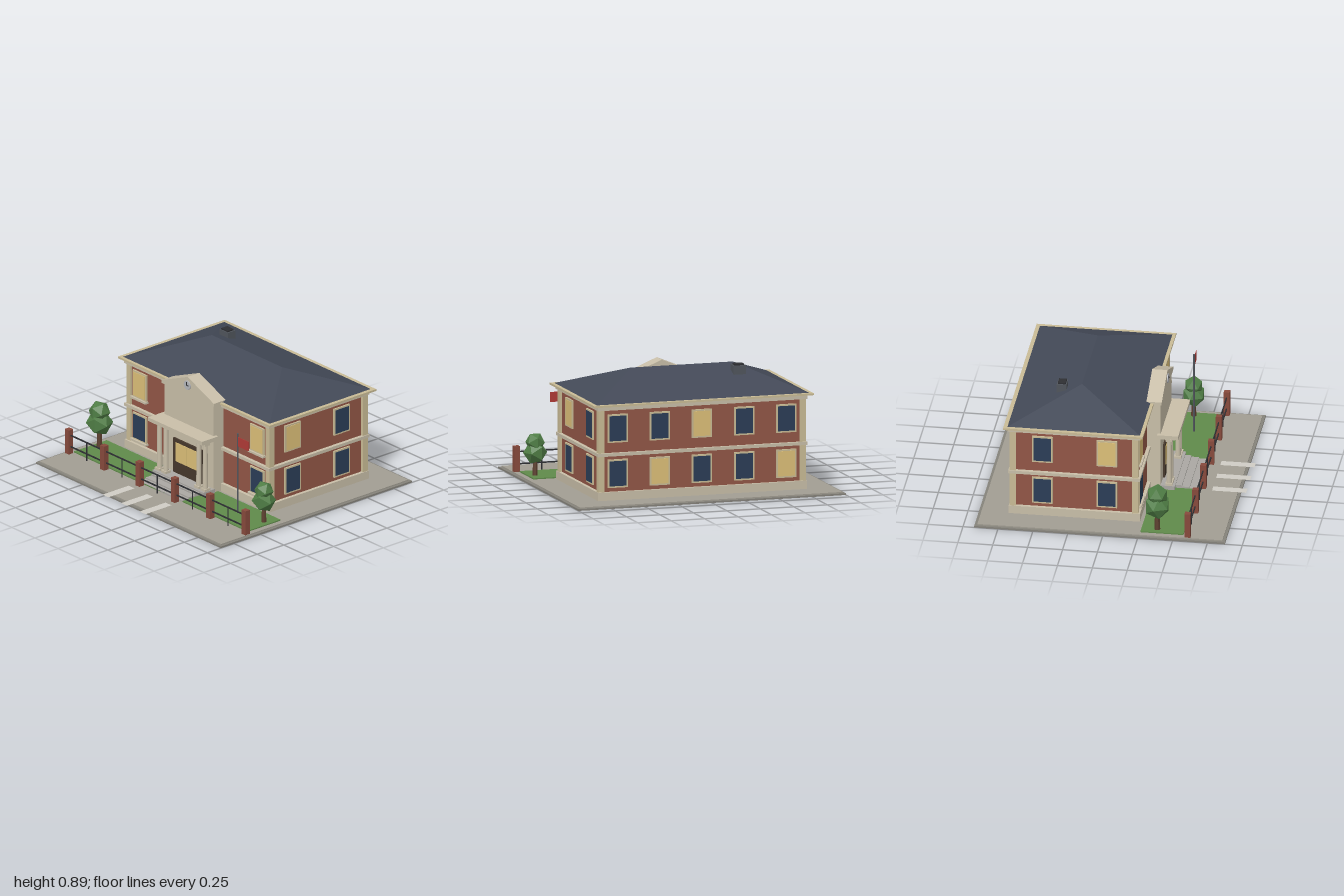
import * as THREE from 'three';

const mat = (color, extra = {}) => new THREE.MeshStandardMaterial({ color, ...extra });
const M = {
  brick: mat(0x925646), post: mat(0x874a3c), cream: mat(0xc8bea8), trim: mat(0xc9bb95),
  roof: mat(0x434957, { flatShading: true }), paving: mat(0xa19d92), curb: mat(0x85827a),
  grass: mat(0x5f8a4a), step: mat(0xaaa7a2), stripe: mat(0xcfccc4),
  dark: mat(0x2e2f33), door: mat(0x46382c), blue: mat(0x2b3d57), lit: mat(0xdcbf78),
  metal: mat(0x50555c), clock: mat(0xb4b6bb), flag: mat(0xb03a36, { side: THREE.DoubleSide }),
  leaf: mat(0x4f7d45, { flatShading: true }), bark: mat(0x5d4030, { flatShading: true }),
};

function add(parent, name, geometry, material, x = 0, y = 0, z = 0) {
  const mesh = new THREE.Mesh(geometry, material);
  mesh.name = name;
  mesh.position.set(x, y, z);
  parent.add(mesh);
  return mesh;
}

// Box given by its extents on each axis
function span(parent, name, material, [x0, x1], [y0, y1], [z0, z1]) {
  return add(parent, name, new THREE.BoxGeometry(x1 - x0, y1 - y0, z1 - z0), material,
    (x0 + x1) / 2, (y0 + y1) / 2, (z0 + z1) / 2);
}

// Framed window facing +z before it is turned
function addWindow(parent, x, y, z, turn, lit, sill = false) {
  const g = new THREE.Group();
  g.name = 'window';
  span(g, 'windowFrame', M.trim, [-0.074, 0.074], [-0.102, 0.102], [-0.01, 0.01]);
  span(g, 'windowPane', lit ? M.lit : M.blue, [-0.063, 0.063], [-0.09, 0.09], [0, 0.013]);
  if (sill) span(g, 'windowSill', M.cream, [-0.084, 0.084], [-0.115, -0.1], [-0.01, 0.025]);
  g.position.set(x, y, z);
  g.rotation.y = turn;
  parent.add(g);
}

// Hip roof from an eave rectangle and a ridge line
function hipRoof(x, y0, y1, z0, z1, ridge) {
  const zm = (z0 + z1) / 2;
  const a = [-x, y0, z1], b = [x, y0, z1], c = [x, y0, z0], d = [-x, y0, z0];
  const l = [-ridge, y1, zm], r = [ridge, y1, zm];
  const faces = [a, b, r, a, r, l, b, c, r, c, d, l, c, l, r, d, a, l, a, d, c, a, c, b];
  const g = new THREE.BufferGeometry();
  g.setAttribute('position', new THREE.Float32BufferAttribute(faces.flat(), 3));
  g.computeVertexNormals();
  return g;
}

function addTree(parent, x, z, s) {
  const g = new THREE.Group();
  g.name = 'tree';
  add(g, 'trunk', new THREE.CylinderGeometry(0.015, 0.022, 0.16, 6), M.bark, 0, 0.08, 0);
  add(g, 'lowerFoliage', new THREE.IcosahedronGeometry(0.098, 0), M.leaf, 0, 0.195, 0).rotation.y = 0.4;
  add(g, 'upperFoliage', new THREE.IcosahedronGeometry(0.08, 0), M.leaf, 0, 0.278, 0);
  g.position.set(x, 0.02, z);
  g.scale.setScalar(s);
  parent.add(g);
}

export function createModel() {
  const root = new THREE.Group();
  root.name = 'building';

  // Grounds
  span(root, 'groundBase', M.curb, [-1, 1], [0, 0.012], [-0.92, 0.875]);
  span(root, 'pavement', M.paving, [-0.98, 0.98], [0.012, 0.02], [-0.9, 0.855]);
  span(root, 'lawn', M.grass, [-0.94, 0.94], [0.02, 0.028], [0.262, 0.57]);
  for (const x of [-0.2, 0, 0.2]) {
    add(root, 'crossingStripe', new THREE.PlaneGeometry(0.064, 0.245), M.stripe, x, 0.023, 0.793)
      .rotation.x = -Math.PI / 2;
  }

  // Main walls and horizontal bands
  span(root, 'walls', M.brick, [-0.755, 0.755], [0.02, 0.69], [-0.685, 0.21]);
  span(root, 'plinth', M.cream, [-0.78, 0.78], [0.02, 0.08], [-0.705, 0.235]);
  span(root, 'beltCourse', M.cream, [-0.782, 0.782], [0.337, 0.36], [-0.708, 0.235]);
  span(root, 'cornice', M.cream, [-0.783, 0.783], [0.668, 0.698], [-0.71, 0.235]);
  span(root, 'eaves', M.trim, [-0.82, 0.82], [0.698, 0.712], [-0.74, 0.26]);
  for (const sx of [-1, 1]) for (const z of [-0.677, 0.2])
    add(root, 'cornerPilaster', new THREE.BoxGeometry(0.045, 0.6, 0.045), M.trim, sx * 0.752, 0.375, z);

  // Roof and vent stack
  add(root, 'hipRoof', hipRoof(0.792, 0.712, 0.88, -0.712, 0.236, 0.38), M.roof);
  span(root, 'ventStack', M.metal, [-0.42, -0.33], [0.78, 0.882], [-0.415, -0.345]);
  span(root, 'ventCap', M.dark, [-0.41, -0.34], [0.882, 0.892], [-0.408, -0.352]);

  // Windows
  const LOW = 0.21, HIGH = 0.535;
  for (const sx of [-1, 1]) {
    addWindow(root, sx * 0.635, HIGH, 0.212, 0, true, true);
    addWindow(root, sx * 0.635, LOW, 0.212, 0, false, true);
    for (const [z, front] of [[-0.005, true], [-0.466, false]]) {
      addWindow(root, sx * 0.757, HIGH, z, sx * Math.PI / 2, front);
      addWindow(root, sx * 0.757, LOW, z, sx * Math.PI / 2, false);
    }
  }
  for (let i = 0; i < 5; i++) {
    const x = 0.63 - i * 0.315;
    addWindow(root, x, HIGH, -0.687, Math.PI, i === 2);
    addWindow(root, x, LOW, -0.687, Math.PI, i === 1 || i === 4);
  }

  // Entrance bay with pediment and clock
  span(root, 'entranceBay', M.cream, [-0.265, 0.265], [0.02, 0.705], [0.19, 0.308]);
  const gable = new THREE.Shape([[-0.283, 0.7], [0.283, 0.7], [0.283, 0.722], [0, 0.838], [-0.283, 0.722]]
    .map(([x, y]) => new THREE.Vector2(x, y)));
  add(root, 'pediment', new THREE.ExtrudeGeometry(gable, { depth: 0.11, bevelEnabled: false }), M.cream, 0, 0, 0.208);
  add(root, 'clockFace', new THREE.CylinderGeometry(0.034, 0.034, 0.012, 24), M.clock, 0, 0.775, 0.32)
    .rotation.x = Math.PI / 2;
  span(root, 'minuteHand', M.dark, [-0.003, 0.003], [0.775, 0.8], [0.325, 0.329]);
  span(root, 'hourHand', M.dark, [0, 0.019], [0.772, 0.778], [0.325, 0.329]);

  // Double door
  span(root, 'doorFrame', M.door, [-0.155, 0.155], [0.06, 0.322], [0.3, 0.322]);
  for (const sx of [-1, 1])
    add(root, 'doorGlass', new THREE.BoxGeometry(0.121, 0.145, 0.01), M.lit, sx * 0.0635, 0.223, 0.321);

  // Portico roof, columns and steps
  span(root, 'porticoRoof', M.cream, [-0.292, 0.292], [0.437, 0.465], [0.285, 0.437]);
  span(root, 'porticoBeam', M.cream, [-0.27, 0.27], [0.422, 0.437], [0.3, 0.41]);
  for (const x of [-0.247, -0.178, 0.178, 0.247]) {
    add(root, 'column', new THREE.CylinderGeometry(0.017, 0.02, 0.37, 14), M.cream, x, 0.24, 0.367);
    add(root, 'columnBase', new THREE.BoxGeometry(0.05, 0.02, 0.05), M.cream, x, 0.066, 0.367);
    add(root, 'columnCapital', new THREE.BoxGeometry(0.048, 0.018, 0.048), M.cream, x, 0.416, 0.367);
  }
  span(root, 'porch', M.step, [-0.275, 0.275], [0.02, 0.058], [0.3, 0.41]);
  span(root, 'upperStep', M.step, [-0.235, 0.235], [0.02, 0.05], [0.3, 0.455]);
  span(root, 'middleStep', M.step, [-0.235, 0.235], [0.02, 0.04], [0.3, 0.51]);
  span(root, 'lowerStep', M.step, [-0.235, 0.235], [0.02, 0.031], [0.3, 0.57]);

  // Fence
  for (let i = 0; i < 6; i++) {
    const x = -0.955 + i * 0.382;
    add(root, 'fencePost', new THREE.BoxGeometry(0.042, 0.185, 0.042), M.post, x, 0.1125, 0.603);
    if (i < 5) add(root, 'fenceBar', new THREE.BoxGeometry(0.006, 0.145, 0.006), M.dark, x + 0.191, 0.0925, 0.603);
  }
  for (const y of [0.075, 0.162])
    add(root, 'fenceRail', new THREE.BoxGeometry(1.91, 0.009, 0.008), M.dark, 0, y, 0.603);

  // Flag
  add(root, 'flagpole', new THREE.CylinderGeometry(0.007, 0.007, 0.615, 8), M.metal, 0.65, 0.3325, 0.412);
  add(root, 'flag', new THREE.BoxGeometry(0.11, 0.072, 0.004), M.flag, 0.712, 0.578, 0.412);

  addTree(root, -0.888, 0.375, 1);
  addTree(root, 0.89, 0.375, 0.89);
  return root;
}
